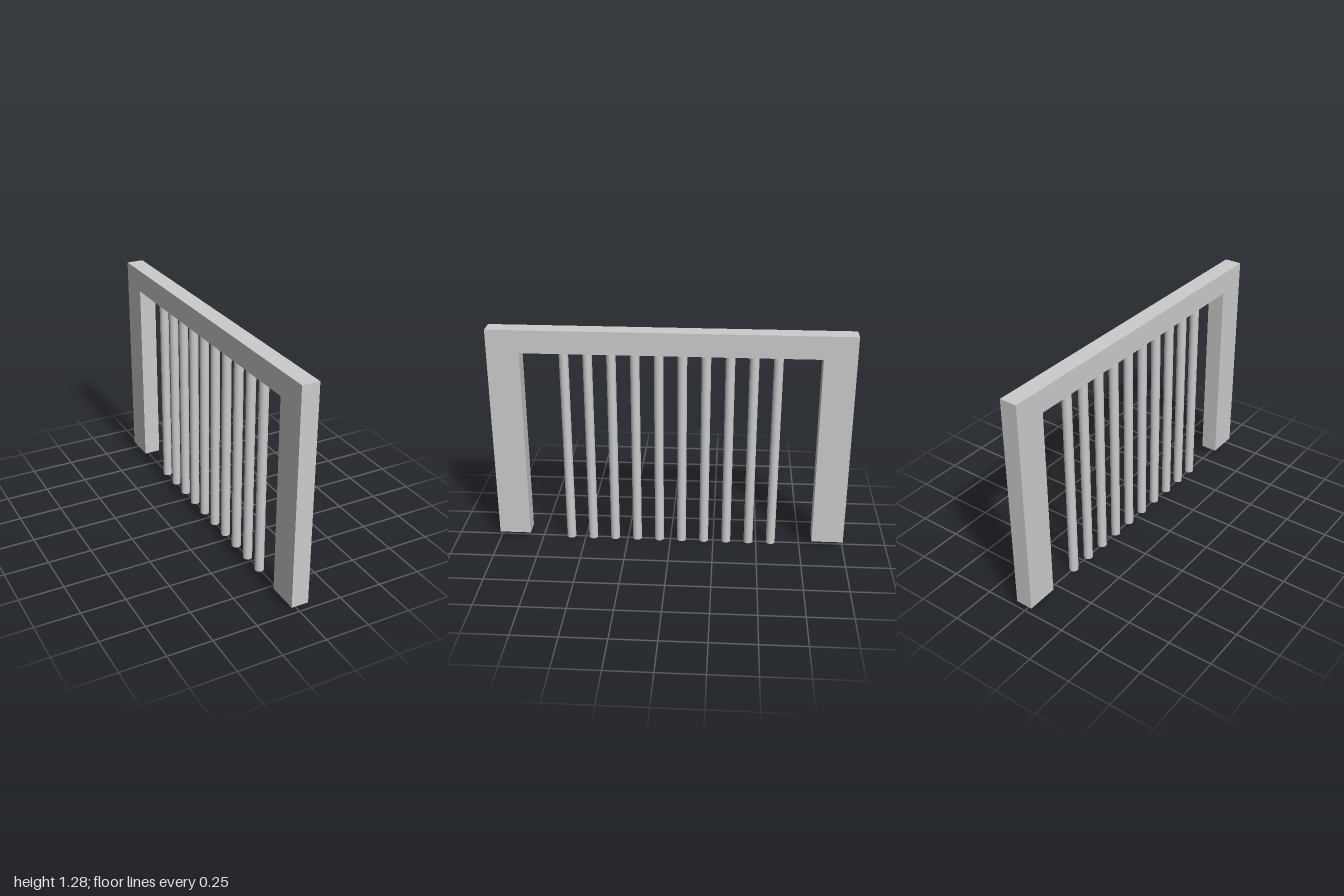
import * as THREE from 'three';

export function createModel() {
  const group = new THREE.Group();
  const material = new THREE.MeshStandardMaterial({ color: 0xcccccc });

  const top = 1.285, beamBottom = 1.155, legBottom = 0.04;
  const inner = 0.82, thickness = 0.098;

  // Gate-shaped frame: two posts and a top beam in one profile
  const profile = new THREE.Shape([
    [-1, legBottom], [-inner, legBottom], [-inner, beamBottom], [inner, beamBottom],
    [inner, legBottom], [1, legBottom], [1, top], [-1, top],
  ].map(([z, y]) => new THREE.Vector2(z, y)));
  const frameGeometry = new THREE.ExtrudeGeometry(profile, { depth: thickness, bevelEnabled: false });
  frameGeometry.translate(0, 0, -thickness / 2);
  frameGeometry.rotateY(-Math.PI / 2);
  const frame = new THREE.Mesh(frameGeometry, material);
  frame.name = 'frame';
  group.add(frame);

  // Row of round bars hanging from the beam
  const bars = new THREE.Group();
  bars.name = 'bars';
  const barGeometry = new THREE.CylinderGeometry(0.026, 0.026, beamBottom, 32);
  const count = 10, spacing = 0.13;
  for (let i = 0; i < count; i++) {
    const bar = new THREE.Mesh(barGeometry, material);
    bar.name = `bar${i + 1}`;
    bar.position.set(0, beamBottom / 2, (i - (count - 1) / 2) * spacing);
    bars.add(bar);
  }
  group.add(bars);

  return group;
}
